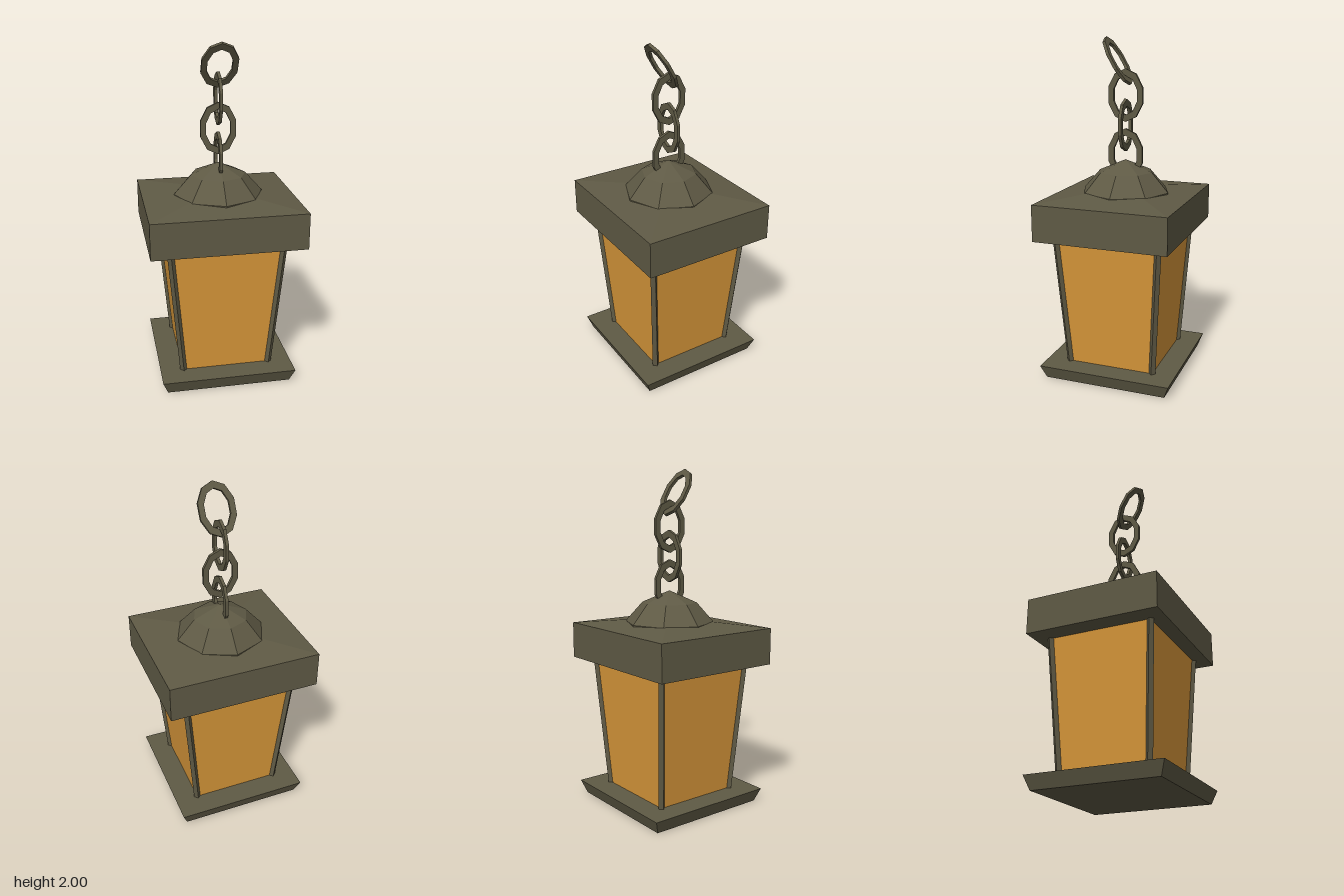
import * as THREE from 'three';

const metal = new THREE.MeshStandardMaterial({ color: 0x5f5a45, flatShading: true });
const amber = new THREE.MeshStandardMaterial({ color: 0xd9983a, flatShading: true });

// Box whose lower and upper rectangles have their own half sizes
function frustum(y0, [x0, z0], y1, [x1, z1]) {
  const geo = new THREE.BoxGeometry(2, 2, 2);
  const p = geo.attributes.position;
  for (let i = 0; i < p.count; i++) {
    const top = p.getY(i) > 0;
    p.setXYZ(i, p.getX(i) * (top ? x1 : x0), top ? y1 : y0, p.getZ(i) * (top ? z1 : z0));
  }
  geo.computeVertexNormals();
  return geo;
}

// Flat oval chain link standing in the XY plane
function linkGeometry() {
  const oval = (rx, ry) => Array.from({ length: 10 }, (_, i) => {
    const a = Math.PI / 2 + (i / 10) * Math.PI * 2;
    return new THREE.Vector2(Math.cos(a) * rx, Math.sin(a) * ry);
  });
  const shape = new THREE.Shape(oval(0.11, 0.153));
  shape.holes.push(new THREE.Path(oval(0.075, 0.112)));
  const geo = new THREE.ExtrudeGeometry(shape, { depth: 0.018, bevelEnabled: false });
  return geo.translate(0, 0, -0.009);
}

export function createModel() {
  const lantern = new THREE.Group();
  lantern.name = 'lantern';
  const add = (name, geo, mat = metal) => {
    const mesh = new THREE.Mesh(geo, mat);
    mesh.name = name;
    lantern.add(mesh);
    return mesh;
  };

  // Base plate, flaring upward
  add('base', frustum(0, [0.37, 0.37], 0.08, [0.4, 0.4]));

  // Tapered glass body
  add('glass', frustum(0.07, [0.262, 0.262], 0.88, [0.332, 0.312]), amber);

  // Diamond-section corner posts leaning with the glass
  for (const sx of [-1, 1]) {
    for (const sz of [-1, 1]) {
      const geo = new THREE.CylinderGeometry(0.021, 0.021, 0.81, 4);
      const p = geo.attributes.position;
      for (let i = 0; i < p.count; i++) {
        const top = p.getY(i) > 0;
        p.setXYZ(i,
          p.getX(i) + sx * (top ? 0.33 : 0.26),
          top ? 0.88 : 0.07,
          p.getZ(i) + sz * (top ? 0.31 : 0.26));
      }
      geo.computeVertexNormals();
      add('cornerPost', geo);
    }
  }

  // Cap with a shallow pitched top
  add('cap', frustum(0.87, [0.45, 0.4], 1.085, [0.45, 0.4]));
  const pitch = new THREE.ConeGeometry(Math.SQRT2, 0.05, 4, 1, true);
  pitch.rotateY(Math.PI / 4).scale(0.45, 1, 0.4).translate(0, 1.11, 0);
  add('capRoof', pitch);

  // Eight-sided dome
  const profile = [[0.265, 1.09], [0.265, 1.11], [0.163, 1.225], [0, 1.295]];
  add('dome', new THREE.LatheGeometry(profile.map(([r, y]) => new THREE.Vector2(r, y)), 8));

  // Chain of alternating links, the last one tipped forward
  const link = linkGeometry();
  [
    { y: 1.325, turn: Math.PI / 2 },
    { y: 1.497, turn: 0 },
    { y: 1.67, turn: Math.PI / 2 },
    { y: 1.865, turn: 0, z: 0.047, tilt: Math.PI / 6 },
  ].forEach(({ y, turn, z = 0, tilt = 0 }) => {
    const mesh = add('chainLink', link);
    mesh.position.set(0, y, z);
    mesh.rotation.set(tilt, turn, 0);
  });

  return lantern;
}
